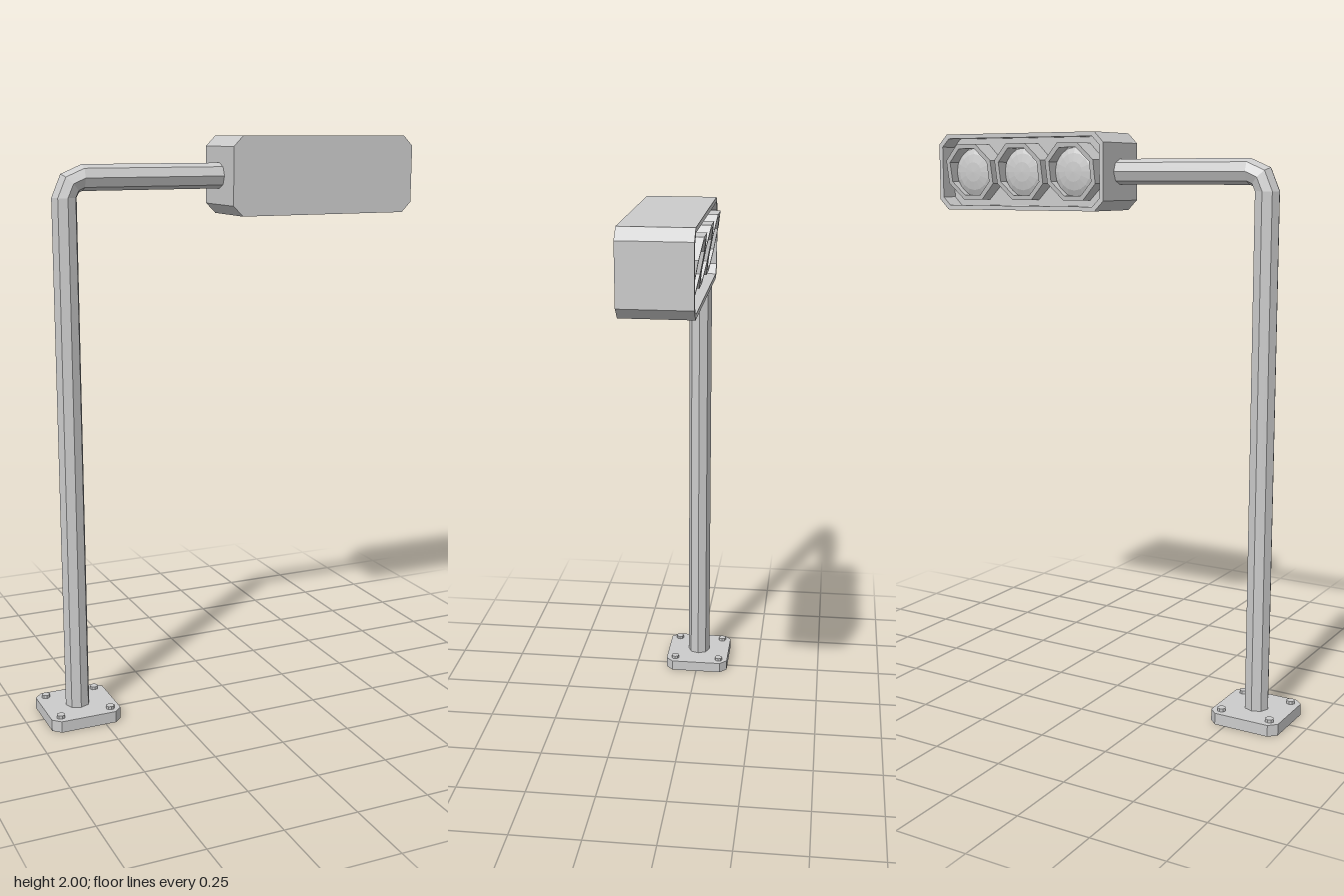
import * as THREE from 'three';

const grey = new THREE.MeshStandardMaterial({ color: 0xcccccc });
const open = new THREE.MeshStandardMaterial({ color: 0xcccccc, side: THREE.DoubleSide });

function add(parent, name, geometry, material = grey, x = 0, y = 0, z = 0) {
  const mesh = new THREE.Mesh(geometry, material);
  mesh.name = name;
  mesh.position.set(x, y, z);
  parent.add(mesh);
  return mesh;
}

// Rectangle with cut corners, centred, counter-clockwise
function chamferedRect(w, h, c) {
  const x = w / 2, y = h / 2;
  return [[x, -y + c], [x, y - c], [x - c, y], [-x + c, y],
    [-x, y - c], [-x, -y + c], [-x + c, -y], [x - c, -y]].map(p => new THREE.Vector2(...p));
}

// Octagon with a flat top
function octagon(r) {
  return Array.from({ length: 8 }, (_, i) => {
    const a = (i + 0.5) * Math.PI / 4;
    return new THREE.Vector2(r * Math.cos(a), r * Math.sin(a));
  });
}

// Straight extrusion of an outline, optionally with a hole
function extrude(outline, depth, hole) {
  const shape = new THREE.Shape(outline);
  if (hole) shape.holes.push(new THREE.Path(hole));
  return new THREE.ExtrudeGeometry(shape, { depth, bevelEnabled: false });
}

// Flat-sided open skin through rings of points
function loft(rings) {
  const pos = [];
  for (let i = 0; i + 1 < rings.length; i++) {
    const n = rings[i].length;
    for (let j = 0; j < n; j++) {
      const k = (j + 1) % n;
      const a = rings[i][j], b = rings[i][k], c = rings[i + 1][k], d = rings[i + 1][j];
      for (const p of [a, b, c, a, c, d]) pos.push(p.x, p.y, p.z);
    }
  }
  const g = new THREE.BufferGeometry();
  g.setAttribute('position', new THREE.Float32BufferAttribute(pos, 3));
  g.computeVertexNormals();
  return g;
}

function createBase() {
  const base = new THREE.Group();
  base.name = 'base';
  base.position.x = -0.561;
  const height = 0.04;
  const outline = chamferedRect(0.25, 0.25, 0.027);
  // Hollow plate, open underneath
  add(base, 'plateSides', loft([0, height].map(y => outline.map(p => new THREE.Vector3(p.x, y, -p.y)))), open);
  add(base, 'plateTop', new THREE.ShapeGeometry(new THREE.Shape(outline)).rotateX(-Math.PI / 2), open, 0, height);
  // Anchor bolts
  const bolt = new THREE.CylinderGeometry(0.015, 0.015, 0.012, 8);
  for (const x of [-0.09, 0.09])
    for (const z of [-0.09, 0.09]) add(base, 'bolt', bolt, grey, x, height + 0.005, z).material.flatShading = true;
  return base;
}

// Upright and arm as one octagonal pipe with a short mitred bend
function createPole() {
  const r = 0.043;
  const stations = [[-0.562, 0.03, 0], [-0.562, 1.805, 0], [-0.542, 1.85, 45], [-0.5, 1.868, 90], [0.0, 1.868, 90]];
  return loft(stations.map(([x, y, deg]) => {
    const t = deg * Math.PI / 180;
    return Array.from({ length: 8 }, (_, i) => {
      const a = i * Math.PI / 4, u = r * Math.cos(a);
      return new THREE.Vector3(x - u * Math.cos(t), y + u * Math.sin(t), r * Math.sin(a));
    });
  }));
}

// Octagonal hood whose front edge leans out at the top
function createHood(back) {
  const g = extrude(octagon(0.105), 1, octagon(0.088));
  const p = g.attributes.position;
  for (let i = 0; i < p.count; i++)
    p.setZ(i, p.getZ(i) > 0.5 ? 0.112 + 0.19 * p.getY(i) : back);
  g.computeVertexNormals();
  return g;
}

// Signal head, built facing +z and then turned to the rear
function createHead() {
  const head = new THREE.Group();
  head.name = 'signalHead';
  head.position.set(0.336, 1.868, 0);
  head.rotation.y = Math.PI;
  const w = 0.692, h = 0.265, cut = 0.035, wall = 0.015;
  const back = -0.117, floor = 0.045, front = 0.112;
  add(head, 'housingBody', extrude(chamferedRect(w, h, cut), floor - back), grey, 0, 0, back);
  add(head, 'housingRim', extrude(chamferedRect(w, h, cut), front - floor,
    chamferedRect(w - 2 * wall, h - 2 * wall, cut - 0.006)), grey, 0, 0, floor);

  // Three lamps: hood and domed lens
  const hood = createHood(floor);
  const lens = new THREE.SphereGeometry(0.09, 16, 4, 0, Math.PI * 2, 0, Math.PI / 2)
    .rotateX(Math.PI / 2).scale(1, 1, 0.3);
  for (const x of [-0.213, 0, 0.213]) {
    add(head, 'hood', hood, grey, x);
    add(head, 'lens', lens, grey, x, 0, 0.065);
  }
  return head;
}

export function createModel() {
  const model = new THREE.Group();
  model.name = 'trafficSignal';
  model.add(createBase());
  add(model, 'pole', createPole(), open);
  model.add(createHead());
  return model;
}
